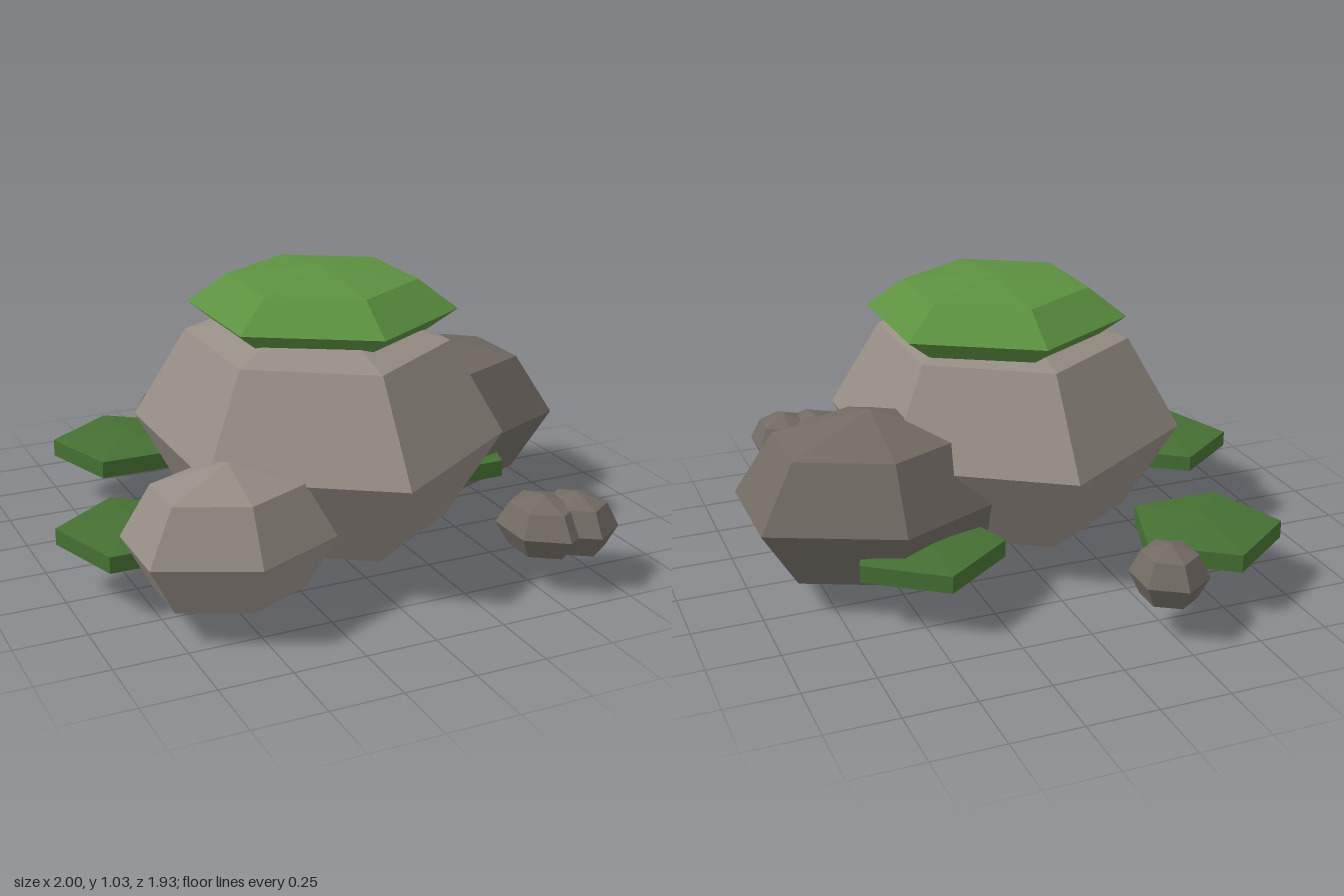
import * as THREE from 'three';

const paint = (color) => new THREE.MeshStandardMaterial({ color, flatShading: true });

export function createModel() {
  const group = new THREE.Group();
  const lightStone = paint(0x968d85);
  const darkStone = paint(0x726b64);
  const moss = paint(0x5c9140);
  const leafGreen = paint(0x467033);

  // Faceted unit blobs with one corner pointing to the back
  const hexBlob = new THREE.SphereGeometry(1, 6, 4).rotateY(-Math.PI / 2);
  const pentaDisc = new THREE.SphereGeometry(1, 5, 3).rotateY(-Math.PI / 2);

  const add = (name, geometry, material, [x, y, z], [rx, ry, rz]) => {
    const mesh = new THREE.Mesh(geometry, material);
    mesh.name = name;
    mesh.position.set(x, y, z);
    mesh.scale.set(rx, ry, rz);
    group.add(mesh);
  };

  // Boulders
  add('mainBoulder', hexBlob, lightStone, [-0.03, 0.463, 0.15], [0.642, 0.463, 0.72]);
  add('leftBoulder', hexBlob, darkStone, [0.555, 0.336, -0.1], [0.514, 0.318, 0.4]);
  add('rightBoulder', hexBlob, lightStone, [-0.54, 0.292, 0.577], [0.37, 0.257, 0.293]);

  // Moss cap on top of the main boulder
  add('mossCap', hexBlob, moss, [0.01, 0.884, 0.11], [0.473, 0.145, 0.487]);

  // Pebbles
  const pebbles = [
    [[-0.245, 0.212, -0.82], [0.133, 0.113, 0.148]],
    [[0.535, 0.212, 0.77], [0.152, 0.11, 0.18]],
    [[0.65, 0.21, 0.8], [0.139, 0.115, 0.16]],
  ];
  pebbles.forEach(([p, r], i) => add(`pebble${i + 1}`, hexBlob, darkStone, p, r));

  // Flat moss patches: centre x, centre z, radius, half height
  const patches = [
    [-0.513, -0.566, 0.317, 0.064],
    [-0.75, 0.243, 0.304, 0.058],
    [0.445, -0.346, 0.316, 0.062],
    [0.532, 0.04, 0.312, 0.062],
  ];
  patches.forEach(([x, z, r, h], i) =>
    add(`mossPatch${i + 1}`, pentaDisc, leafGreen, [x, 0.206, z], [r, h, r]));

  return group;
}
